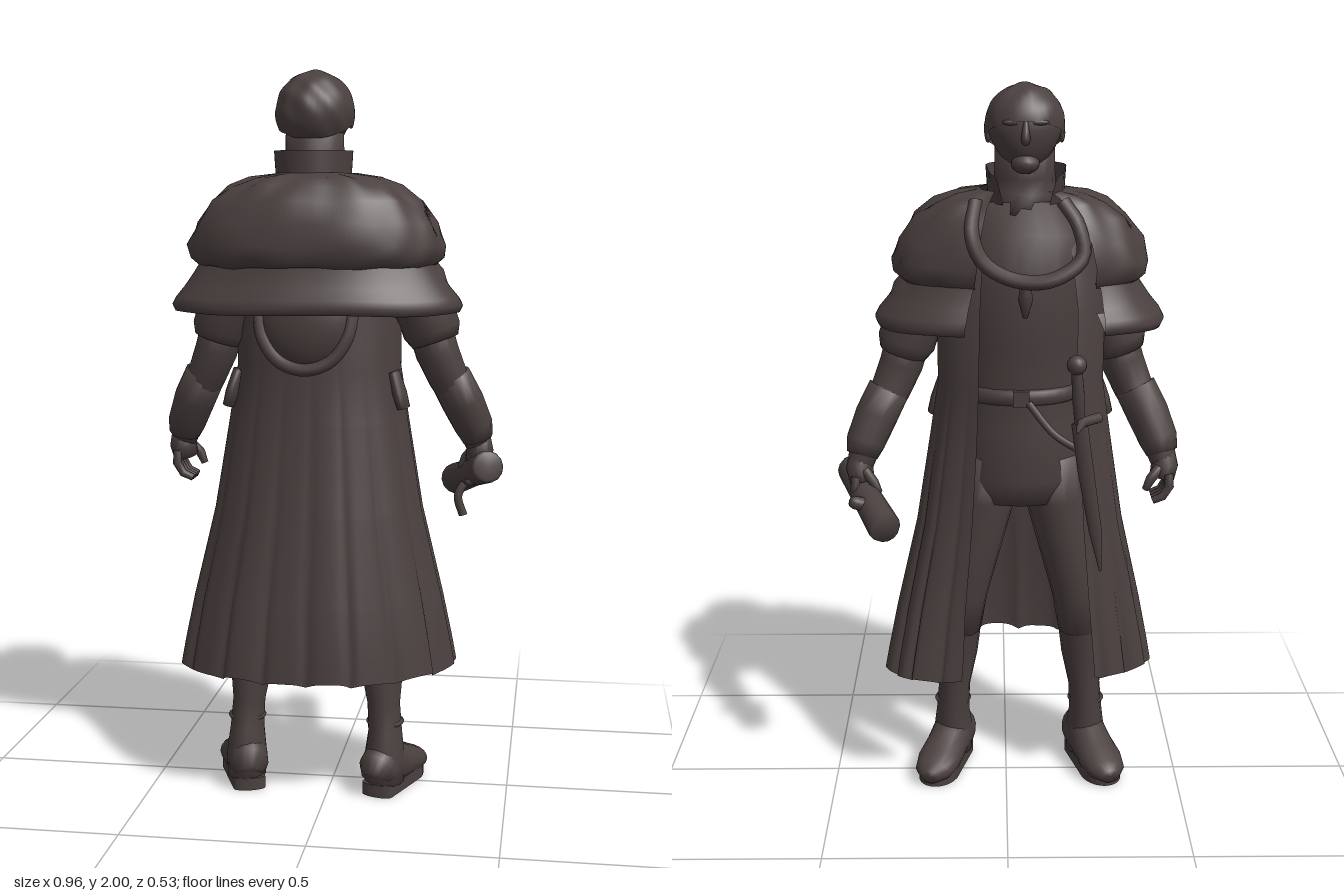
import * as THREE from 'three';

const cloth = new THREE.MeshStandardMaterial({ color: 0x4a403f, side: THREE.DoubleSide });
cloth.name = 'dark umber';
const CX = -0.04; // body axis
const V = (x, y, z) => new THREE.Vector3(x, y, z);
const spow = (v, e) => Math.sign(v) * Math.pow(Math.abs(v), e);

function add(parent, name, geometry, x = 0, y = 0, z = 0) {
  const m = new THREE.Mesh(geometry, cloth);
  m.name = name;
  m.position.set(x, y, z);
  parent.add(m);
  return m;
}

// Move every vertex by a rule taking and returning coordinates
function reshape(geometry, rule) {
  const p = geometry.attributes.position;
  for (let i = 0; i < p.count; i++) p.setXYZ(i, ...rule(p.getX(i), p.getY(i), p.getZ(i)));
  geometry.computeVertexNormals();
  return geometry;
}

// Smooth skin over rows of points
function skin(rows, closed) {
  const n = rows[0].length, pos = [], idx = [];
  rows.forEach(r => r.forEach(p => pos.push(p.x, p.y, p.z)));
  for (let i = 0; i < rows.length - 1; i++) {
    for (let j = 0; j < (closed ? n : n - 1); j++) {
      const k = (j + 1) % n, a = i * n + j, b = i * n + k, c = a + n, d = b + n;
      idx.push(a, c, b, b, c, d);
    }
  }
  const g = new THREE.BufferGeometry();
  g.setAttribute('position', new THREE.Float32BufferAttribute(pos, 3));
  g.setIndex(idx);
  g.computeVertexNormals();
  return g;
}

// Capped tube through stations [x, y, z, sideRadius, otherRadius]
function limb(stations, ref = V(0, 0, 1), sides = 14) {
  const at = i => V(...stations[Math.min(Math.max(i, 0), stations.length - 1)].slice(0, 3));
  const rows = stations.map((s, i) => {
    const t = at(i + 1).sub(at(i - 1)).normalize();
    const a = t.clone().cross(ref).normalize(), b = a.clone().cross(t).normalize();
    return Array.from({ length: sides }, (_, j) => {
      const q = j / sides * Math.PI * 2;
      return at(i).addScaledVector(a, s[3] * Math.cos(q)).addScaledVector(b, (s[4] ?? s[3]) * Math.sin(q));
    });
  });
  rows.unshift(Array(sides).fill(at(0)));
  rows.push(Array(sides).fill(at(stations.length - 1)));
  return skin(rows, true);
}

function tube(points, r, n = 30) {
  return new THREE.TubeGeometry(new THREE.CatmullRomCurve3(points.map(p => V(...p))), n, r, 8);
}

// Garment open at the -z side; stations [y, rx, rz, cz, leftGap, rightGap]
function drape(stations, power, bump, n = 140) {
  return skin(stations.map(([y, rx, rz, cz, left, right], i) => {
    const end = gap => Math.PI - Math.asin(Math.min(1, Math.pow(gap / rx, 1 / power)));
    const from = -end(right), to = end(left);
    return Array.from({ length: n + 1 }, (_, j) => {
      const a = from + (to - from) * j / n, b = bump(a, y, i);
      return V(CX + spow(Math.sin(a), power) * rx * (1 + b), y + b * 0.2, cz + spow(Math.cos(a), power) * rz * (1 + b));
    });
  }), false);
}

function buildHead(g) {
  const head = new THREE.Group();
  head.name = 'head';
  head.position.set(-0.05, 1.885, 0);
  g.add(head);
  // Skull narrowing to a long jaw
  add(head, 'skull', reshape(new THREE.SphereGeometry(1, 36, 24), (x, y, z) => {
    const jaw = y < 0 ? 1 + 0.25 * y : 1;
    return [x * 0.1 * jaw, y * (y < 0 ? 0.118 : 0.108), spow(z, 0.8) * 0.106 * (z > 0 ? jaw : 1)];
  }));
  // Swept hair over the crown, sides and nape
  const hair = add(head, 'hair', reshape(new THREE.SphereGeometry(1, 40, 24, 0, Math.PI * 2, 0, 1.85), (x, y, z) => {
    const k = 1 + 0.025 * Math.sin(9 * x + 5 * y) * Math.cos(8 * z);
    return [x * 0.107 * k, y * 0.108 * k, spow(z, 0.9) * 0.116 * k];
  }), 0, 0.004, 0.004);
  hair.rotation.x = 0.42;
  add(head, 'nose', limb([[0, 0.02, -0.1, 0.007], [0, -0.005, -0.11, 0.01], [0, -0.022, -0.114, 0.013], [0, -0.03, -0.1, 0.01]]));
  add(head, 'chin', new THREE.SphereGeometry(0.034, 14, 10), 0, -0.088, -0.072).scale.set(1.1, 0.8, 1);
  for (const s of [-1, 1]) {
    add(head, 'brow', new THREE.SphereGeometry(0.024, 12, 8), s * 0.034, 0.02, -0.096).scale.set(1.1, 0.35, 0.4);
    add(head, 'ear', new THREE.SphereGeometry(0.026, 12, 10), s * 0.098, -0.015, 0).scale.set(0.35, 1, 0.7);
  }
  add(g, 'neck', limb([[-0.05, 1.84, 0.01, 0.08], [-0.05, 1.76, 0.012, 0.082], [-0.05, 1.72, 0.02, 0.085], [CX, 1.66, 0.02, 0.11]]));
}

function buildGarments(g) {
  add(g, 'torso', limb([[CX, 1.69, 0.02, 0.13, 0.09], [CX, 1.6, 0.015, 0.19, 0.135], [CX, 1.47, 0.005, 0.185, 0.14],
    [CX, 1.32, 0.005, 0.17, 0.128], [CX, 1.18, 0.01, 0.155, 0.11], [CX, 1.08, 0.02, 0.17, 0.125], [CX, 0.93, 0.025, 0.178, 0.132], [CX, 0.86, 0.03, 0.16, 0.11]], V(0, 0, 1), 24));
  const belt = add(g, 'belt', new THREE.TorusGeometry(0.156, 0.014, 8, 32), CX, 1.17, 0.01);
  belt.rotation.x = Math.PI / 2;
  belt.scale.set(1, 0.72, 1.6);
  add(g, 'buckle', new THREE.BoxGeometry(0.045, 0.045, 0.015), CX, 1.17, -0.115);
  // Long pleated coat, its left side swinging forward toward the hem
  const coat = drape([[1.6, 0.2, 0.12, 0.02, 0.1, 0.13], [1.42, 0.23, 0.163, 0, 0.11, 0.15], [1.2, 0.228, 0.163, -0.002, 0.115, 0.15], [1.05, 0.25, 0.17, 0.004, 0.12, 0.16],
    [0.8, 0.288, 0.183, 0.02, 0.135, 0.175], [0.55, 0.343, 0.197, 0.041, 0.155, 0.19], [0.42, 0.368, 0.204, 0.047, 0.16, 0.2], [0.35, 0.38, 0.206, 0.049, 0.165, 0.205]], 0.92,
    (a, y) => Math.max(0, 1.25 - y) * 0.05 * (0.4 - 1.2 * Math.pow(1 - Math.abs(Math.sin(8.5 * a + 0.7 * Math.sin(3 * a))), 2) + 0.35 * Math.sin(9 * a)), 260);
  add(g, 'coat', reshape(coat, (x, y, z) => [x, y, z - 0.3 * Math.max(0, x - 0.1) * Math.min(1, Math.max(0, (1.2 - y) / 0.7))]));
  // Heavy fur mantle rolling into a flared shoulder cape
  const fur = (a, y, i) => i < 1 ? 0 : 0.012 * Math.sin(7 * a + 40 * y) + 0.01 * Math.sin(13 * a - 25 * y);
  add(g, 'furMantle', drape([[1.725, 0.11, 0.105, 0.015, 0.07, 0.07], [1.712, 0.18, 0.14, 0.03, 0.08, 0.1], [1.69, 0.235, 0.165, 0.037, 0.09, 0.13], [1.65, 0.288, 0.186, 0.042, 0.1, 0.155],
    [1.59, 0.328, 0.203, 0.043, 0.11, 0.18], [1.53, 0.35, 0.21, 0.042, 0.12, 0.2], [1.495, 0.342, 0.203, 0.042, 0.125, 0.2], [1.475, 0.32, 0.187, 0.042, 0.125, 0.2], [1.48, 0.25, 0.14, 0.04, 0.12, 0.2]], 0.84, fur));
  add(g, 'shoulderCape', drape([[1.5, 0.31, 0.18, 0.04, 0.12, 0.2], [1.46, 0.335, 0.187, 0.04, 0.13, 0.21], [1.42, 0.363, 0.203, 0.038, 0.14, 0.215], [1.39, 0.388, 0.217, 0.037, 0.145, 0.22],
    [1.37, 0.398, 0.222, 0.037, 0.15, 0.22], [1.352, 0.39, 0.216, 0.037, 0.15, 0.22], [1.355, 0.365, 0.19, 0.037, 0.15, 0.22], [1.4, 0.3, 0.16, 0.035, 0.15, 0.2]], 0.84,
    a => 0.012 * Math.sin(5 * a + 1)));
  // Standing collar with pointed lapels
  const collar = [1.69, 1.74, 1.785].map((y, i) => Array.from({ length: 41 }, (_, j) => {
    const a = (j / 20 - 1) * 2.5, f = Math.max(0, Math.abs(a) - 1.9), tip = i * f * 0.02;
    return V(-0.053 + Math.sin(a) * (0.102 + 0.003 * i + tip), y - 0.018 * i * f, 0.01 + Math.cos(a) * (0.113 + tip));
  }));
  add(g, 'collar', skin(collar, false));
  add(g, 'chestRope', tube([[0.08, 1.7, -0.09], [0.09, 1.62, -0.145], [0.06, 1.55, -0.16], [-0.02, 1.505, -0.163], [-0.12, 1.505, -0.163], [-0.2, 1.56, -0.14], [-0.19, 1.64, -0.12], [-0.15, 1.7, -0.09]], 0.02));
  add(g, 'chestTassel', limb([[-0.05, 1.5, -0.158, 0.012], [-0.05, 1.45, -0.15, 0.02], [-0.05, 1.4, -0.135, 0.006]]));
  // Sagging hood bag on the back
  add(g, 'hoodBag', new THREE.SphereGeometry(1, 24, 16), -0.05, 1.33, 0.165).scale.set(0.125, 0.13, 0.06);
  add(g, 'hoodRim', tube([[-0.18, 1.38, 0.165], [-0.165, 1.29, 0.19], [-0.12, 1.228, 0.2], [-0.05, 1.205, 0.205], [0.02, 1.228, 0.2], [0.065, 1.29, 0.19], [0.08, 1.38, 0.165]], 0.017));
  for (const s of [-1, 1]) add(g, 'hipPouch', limb([[s * 0.215 + CX, 1.19, 0.06, 0.016, 0.03], [s * 0.232 + CX, 1.13, 0.06, 0.02, 0.045], [s * 0.243 + CX, 1.09, 0.06, 0.018, 0.04]]));
}

function buildArm(g, side) {
  const left = side > 0, name = left ? 'left' : 'right';
  const part = (label, pts) => add(g, name + label, limb(pts.map(([x, y, z, ...r]) => left ? [x, y, z, ...r] : [-0.035 - x, y, z + 0.02, ...r])));
  part('Sleeve', [[0.15, 1.52, 0.03, 0.08], [0.23, 1.42, 0.03, 0.09], [0.262, 1.34, 0.025, 0.08], [0.275, 1.3, 0.02, 0.08], [0.285, 1.27, 0.02, 0.066]]);
  part('Arm', [[0.26, 1.34, 0.02, 0.062], [0.29, 1.24, 0.015, 0.06], [0.32, 1.17, 0.005, 0.055], [0.375, 1.07, -0.025, 0.05], [0.405, 0.97, -0.06, 0.036]]);
  part('Cuff', [[0.325, 1.17, 0, 0.058], [0.36, 1.1, -0.015, 0.059], [0.39, 1.03, -0.04, 0.054], [0.4, 0.995, -0.05, 0.044]]);
  part('Palm', [[0.402, 1, -0.05, 0.034], [0.407, 0.96, -0.06, 0.038, 0.043], [0.4, 0.925, -0.065, 0.035, 0.04]]);
  for (let i = 0; i < 4; i++) {
    const z = -0.098 + i * 0.023;
    part('Finger', [[0.415, 0.945, z, 0.013], [0.418, 0.91, z, 0.013], [0.4, 0.88, z, 0.012], [0.372, 0.868, z, 0.01]]);
  }
  part('Thumb', [[0.39, 0.96, -0.085, 0.015], [0.365, 0.93, -0.098, 0.014], [0.352, 0.9, -0.095, 0.01]]);
}

function buildLeg(g, side) {
  const name = side > 0 ? 'left' : 'right', hip = CX + side * 0.09, foot = CX + side * 0.198, mid = (hip + foot) / 2;
  add(g, name + 'Leg', limb([[hip, 0.98, 0.03, 0.09, 0.11], [hip + side * 0.015, 0.85, 0.025, 0.09, 0.1], [mid, 0.68, 0.02, 0.082, 0.088], [mid + side * 0.02, 0.56, 0.02, 0.07, 0.076], [foot - side * 0.02, 0.45, 0.04, 0.066, 0.07]]));
  add(g, name + 'BootShaft', limb([[foot - side * 0.028, 0.53, 0.035, 0.07, 0.076], [foot - side * 0.02, 0.46, 0.045, 0.066, 0.074], [foot - side * 0.012, 0.36, 0.06, 0.062, 0.07],
    [foot - side * 0.005, 0.25, 0.065, 0.046, 0.06], [foot, 0.17, 0.07, 0.048, 0.062], [foot, 0.1, 0.082, 0.057, 0.066], [foot, 0.03, 0.084, 0.055, 0.066]]));
  add(g, name + 'AnkleStrap', new THREE.TorusGeometry(0.047, 0.007, 6, 20), foot, 0.2, 0.07).rotation.x = Math.PI / 2;
  const boot = new THREE.Group();
  boot.name = name + 'Boot';
  boot.position.set(foot, 0, 0.08);
  boot.rotation.y = -side * 0.32;
  g.add(boot);
  add(boot, 'shoe', limb([[0, 0.05, 0.06, 0.04, 0.04], [0, 0.07, 0.045, 0.055, 0.065], [0, 0.085, 0, 0.058, 0.08], [0, 0.065, -0.06, 0.06, 0.06], [0, 0.05, -0.13, 0.064, 0.045], [0, 0.04, -0.18, 0.054, 0.034], [0, 0.034, -0.21, 0.028, 0.022]], V(0, 1, 0), 18));
  const outline = new THREE.Shape();
  outline.moveTo(-0.045, -0.05).bezierCurveTo(-0.04, -0.075, 0.04, -0.075, 0.045, -0.05);
  outline.lineTo(0.057, 0.13).bezierCurveTo(0.05, 0.225, -0.05, 0.225, -0.057, 0.13);
  add(boot, 'sole', new THREE.ExtrudeGeometry(outline, { depth: 0.035, bevelEnabled: false })).rotation.x = -Math.PI / 2;
}

export function createModel() {
  const g = new THREE.Group();
  g.name = 'cloakedSwordsman';
  buildHead(g);
  buildGarments(g);
  for (const s of [-1, 1]) {
    buildArm(g, s);
    buildLeg(g, s);
  }
  // Baton held in the left hand
  add(g, 'baton', limb([[0.436, 0.93, 0.047, 0.038], [0.433, 0.928, 0.037, 0.045], [0.39, 0.89, -0.09, 0.04], [0.33, 0.845, -0.23, 0.045], [0.325, 0.842, -0.242, 0.038]], V(0, 1, 0)));
  add(g, 'batonKnob', limb([[0.37, 0.88, -0.15, 0.02], [0.415, 0.895, -0.168, 0.018], [0.425, 0.898, -0.172, 0.012]]));
  add(g, 'batonCord', tube([[0.37, 0.87, -0.1], [0.345, 0.82, -0.09], [0.36, 0.765, -0.09]], 0.012, 10));
  // Sheathed sword at the right hip
  add(g, 'pommel', new THREE.SphereGeometry(0.027, 14, 10), -0.185, 1.285, -0.198);
  add(g, 'swordGrip', limb([[-0.185, 1.28, -0.198, 0.014], [-0.19, 1.2, -0.19, 0.017], [-0.195, 1.12, -0.18, 0.013]]));
  add(g, 'crossguard', limb([[-0.25, 1.13, -0.155, 0.014], [-0.2, 1.125, -0.19, 0.014], [-0.185, 1.12, -0.265, 0.004]], V(0, 1, 0)));
  add(g, 'scabbard', limb([[-0.195, 1.12, -0.18, 0.022, 0.014], [-0.215, 0.98, -0.162, 0.022, 0.013], [-0.245, 0.8, -0.145, 0.018, 0.01], [-0.262, 0.68, -0.132, 0.004]]));
  add(g, 'swordHanger', tube([[-0.06, 1.16, -0.12], [-0.13, 1.08, -0.15], [-0.2, 1.04, -0.17]], 0.01, 12));
  return g;
}
